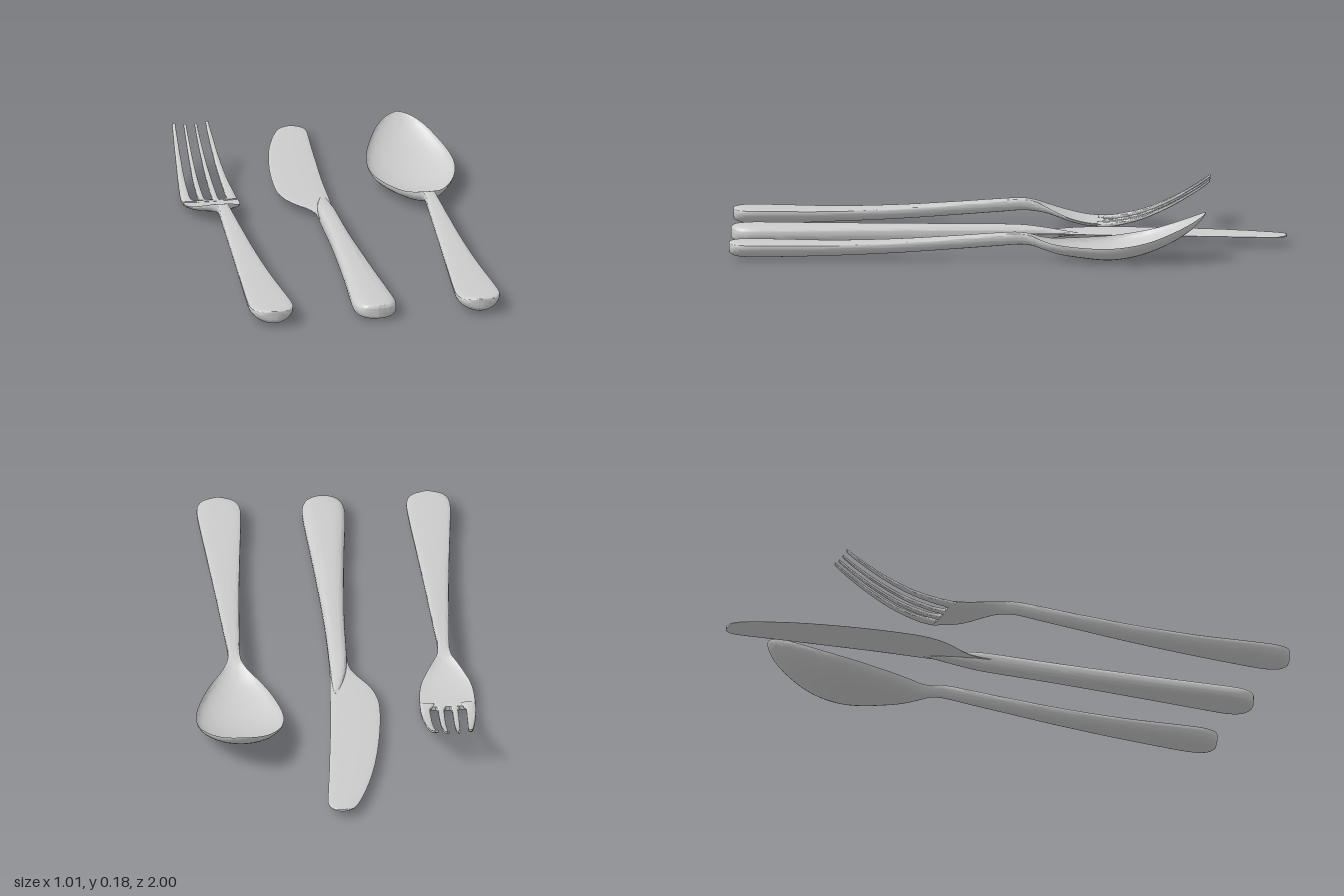
import * as THREE from 'three';
import { toCreasedNormals } from 'three/addons/utils/BufferGeometryUtils.js';

const material = new THREE.MeshStandardMaterial({ color: 0xcccccc });

// Smooth interpolation of every column of a station table
function sample(rows, t) {
  const n = rows.length - 1;
  const i = Math.min(Math.floor(t * n), n - 1), f = t * n - i;
  const p = [i - 1, i, i + 1, i + 2].map(k => rows[Math.min(Math.max(k, 0), n)]);
  return p[1].map((b, k) => {
    const a = p[0][k], c = p[2][k], d = p[3][k];
    return b + 0.5 * f * (c - a + f * (2 * a - 5 * b + 4 * c - d + f * (3 * (b - c) + d - a)));
  });
}

// Lofts cross-sections along -z. Station: [z, x, halfWidth, rimY, up, down, dish]
// px, pu, pd square off the sides, the upper half and the lower half of the section.
function loft(name, rows, { px = 1, pu = 0.4, pd = 1, steps = 5, sides = 40 } = {}) {
  const pos = [], idx = [], count = (rows.length - 1) * steps;
  for (let i = 0; i <= count; i++) {
    const [z, x, w, rim, up, down, dish] = sample(rows, i / count);
    for (let j = 0; j < sides; j++) {
      const a = (j / sides) * Math.PI * 2, c = Math.cos(a);
      const s = j % (sides / 2) === 0 ? 0 : Math.abs(Math.sin(a));
      const u = Math.sign(c) * Math.pow(Math.abs(c), px);
      const y = j <= sides / 2
        ? rim + up * Math.pow(s, pu) - dish * s
        : rim - down * Math.pow(s, pd);
      pos.push(x + Math.max(w, 0) * u, y, z);
    }
  }
  for (let i = 0; i < count; i++) for (let j = 0; j < sides; j++) {
    const k = (j + 1) % sides, a = i * sides, b = a + sides;
    idx.push(a + j, b + j, a + k, a + k, b + j, b + k);
  }
  const last = count * sides;
  for (let j = 1; j < sides - 1; j++) {
    idx.push(0, j, j + 1, last, last + j + 1, last + j);
  }
  const geo = new THREE.BufferGeometry();
  geo.setAttribute('position', new THREE.Float32BufferAttribute(pos, 3));
  geo.setIndex(idx);
  const mesh = new THREE.Mesh(toCreasedNormals(geo, 0.75), material);
  mesh.name = name;
  return mesh;
}

// Handle shared by the fork and the spoon, arching up to the neck
const handle = [
  [1.0, 0, 0, 0.048, 0.016, 0.02, 0],
  [0.992, 0, 0.04, 0.05, 0.015, 0.032, 0],
  [0.97, 0, 0.066, 0.053, 0.013, 0.042, 0],
  [0.92, 0, 0.079, 0.054, 0.012, 0.046, 0],
  [0.82, 0, 0.075, 0.053, 0.012, 0.044, 0],
  [0.62, 0, 0.060, 0.052, 0.012, 0.038, 0],
  [0.40, 0, 0.045, 0.058, 0.014, 0.034, 0],
  [0.20, 0, 0.034, 0.069, 0.016, 0.031, 0],
  [0.05, 0, 0.026, 0.079, 0.019, 0.030, 0.002],
  [-0.04, 0, 0.022, 0.084, 0.022, 0.028, 0.006],
  [-0.09, 0, 0.026, 0.080, 0.021, 0.028, 0.012],
];

function makeSpoon() {
  const bowl = [
    [-0.13, 0, 0.045, 0.072, 0.015, 0.034, 0.022],
    [-0.19, 0, 0.083, 0.066, 0.007, 0.045, 0.036],
    [-0.27, 0, 0.120, 0.063, 0.004, 0.053, 0.046],
    [-0.36, 0, 0.148, 0.064, 0.004, 0.061, 0.054],
    [-0.44, 0, 0.158, 0.073, 0.004, 0.061, 0.054],
    [-0.52, 0, 0.148, 0.090, 0.004, 0.055, 0.049],
    [-0.60, 0, 0.118, 0.118, 0.004, 0.047, 0.041],
    [-0.66, 0, 0.084, 0.144, 0.004, 0.034, 0.028],
    [-0.695, 0, 0.049, 0.162, 0.004, 0.020, 0.014],
    [-0.710, 0, 0.022, 0.170, 0.003, 0.008, 0.004],
    [-0.715, 0, 0, 0.173, 0.002, 0.002, 0],
  ];
  const spoon = new THREE.Group();
  spoon.name = 'spoon';
  spoon.add(loft('spoonHandleAndBowl', [...handle, ...bowl]));
  spoon.position.x = 0.345;
  return spoon;
}

function makeFork() {
  const palm = [
    [-0.12, 0, 0.042, 0.073, 0.014, 0.026, 0.016],
    [-0.16, 0, 0.066, 0.058, 0.010, 0.022, 0.014],
    [-0.21, 0, 0.090, 0.040, 0.008, 0.020, 0.012],
    [-0.27, 0, 0.100, 0.025, 0.008, 0.018, 0.010],
    [-0.33, 0, 0.100, 0.019, 0.008, 0.016, 0.008],
  ];
  const fork = new THREE.Group();
  fork.name = 'fork';
  fork.add(loft('forkHandleAndPalm', [...handle, ...palm]));

  // Tine edges [z, y, outer tine inner/outer x, inner tine inner/outer x]
  const tine = [
    [-0.310, 0.013, 0.049, 0.100, 0.000, 0.051],
    [-0.325, 0.012, 0.051, 0.100, 0.001, 0.049],
    [-0.334, 0.012, 0.060, 0.100, 0.010, 0.040],
    [-0.350, 0.013, 0.065, 0.100, 0.014, 0.036],
    [-0.390, 0.018, 0.065, 0.098, 0.015, 0.036],
    [-0.480, 0.041, 0.063, 0.089, 0.015, 0.034],
    [-0.580, 0.085, 0.059, 0.079, 0.015, 0.030],
    [-0.670, 0.138, 0.056, 0.071, 0.015, 0.026],
    [-0.715, 0.170, 0.055, 0.066, 0.015, 0.025],
  ];
  for (const side of [-1, 1]) for (const [name, k, lift] of [['outerTine', 2, 0.005], ['innerTine', 4, 0]]) {
    const rows = tine.map(r => {
      const thick = 0.008 - 0.003 * (-r[0] - 0.31) / 0.405;
      return [r[0], side * (r[k] + r[k + 1]) / 2, (r[k + 1] - r[k]) / 2, r[1] + lift, thick, thick, 0];
    });
    fork.add(loft(name, rows, { px: 0.5, pu: 0.5, pd: 0.5, sides: 24 }));
  }
  fork.position.x = -0.41;
  return fork;
}

function makeKnife() {
  const knife = new THREE.Group();
  knife.name = 'knife';
  // Thick rounded handle fading into the blade: [z, x, halfWidth, halfHeight]
  const grip = [
    [1.0, -0.032, 0, 0.018], [0.992, -0.032, 0.04, 0.025], [0.97, -0.032, 0.065, 0.029],
    [0.92, -0.032, 0.077, 0.031], [0.82, -0.032, 0.073, 0.031], [0.62, -0.031, 0.059, 0.031],
    [0.40, -0.031, 0.046, 0.031], [0.20, -0.031, 0.037, 0.031], [0.05, -0.031, 0.034, 0.031],
    [-0.05, -0.030, 0.032, 0.029], [-0.13, -0.026, 0.026, 0.020], [-0.20, -0.018, 0.016, 0.010],
    [-0.25, -0.010, 0.004, 0.004],
  ].map(([z, x, w, h]) => [z, x, w, 0.036, h, h, 0]);
  knife.add(loft('knifeHandle', grip, { px: 0.7, pu: 0.6, pd: 0.6 }));

  // Blade outline: [z, cutting edge x, spine x]
  const blade = [
    [0.04, -0.060, -0.004], [-0.02, -0.065, 0.000], [-0.08, -0.070, 0.002], [-0.13, -0.090, 0.004],
    [-0.20, -0.132, 0.007], [-0.26, -0.154, 0.010], [-0.33, -0.164, 0.013], [-0.45, -0.160, 0.019],
    [-0.60, -0.144, 0.030], [-0.75, -0.118, 0.041], [-0.87, -0.086, 0.051], [-0.94, -0.061, 0.056],
    [-0.975, -0.044, 0.050], [-0.993, -0.026, 0.033], [-1.0, 0.002, 0.006],
  ].map(([z, a, b]) => [z, (a + b) / 2, (b - a) / 2, 0.036, 0.005, 0.005, 0]);
  knife.add(loft('knifeBlade', blade, { pu: 0.7, pd: 0.7 }));
  return knife;
}

export function createModel() {
  const model = new THREE.Group();
  model.name = 'cutlerySet';
  model.add(makeFork(), makeKnife(), makeSpoon());
  return model;
}
